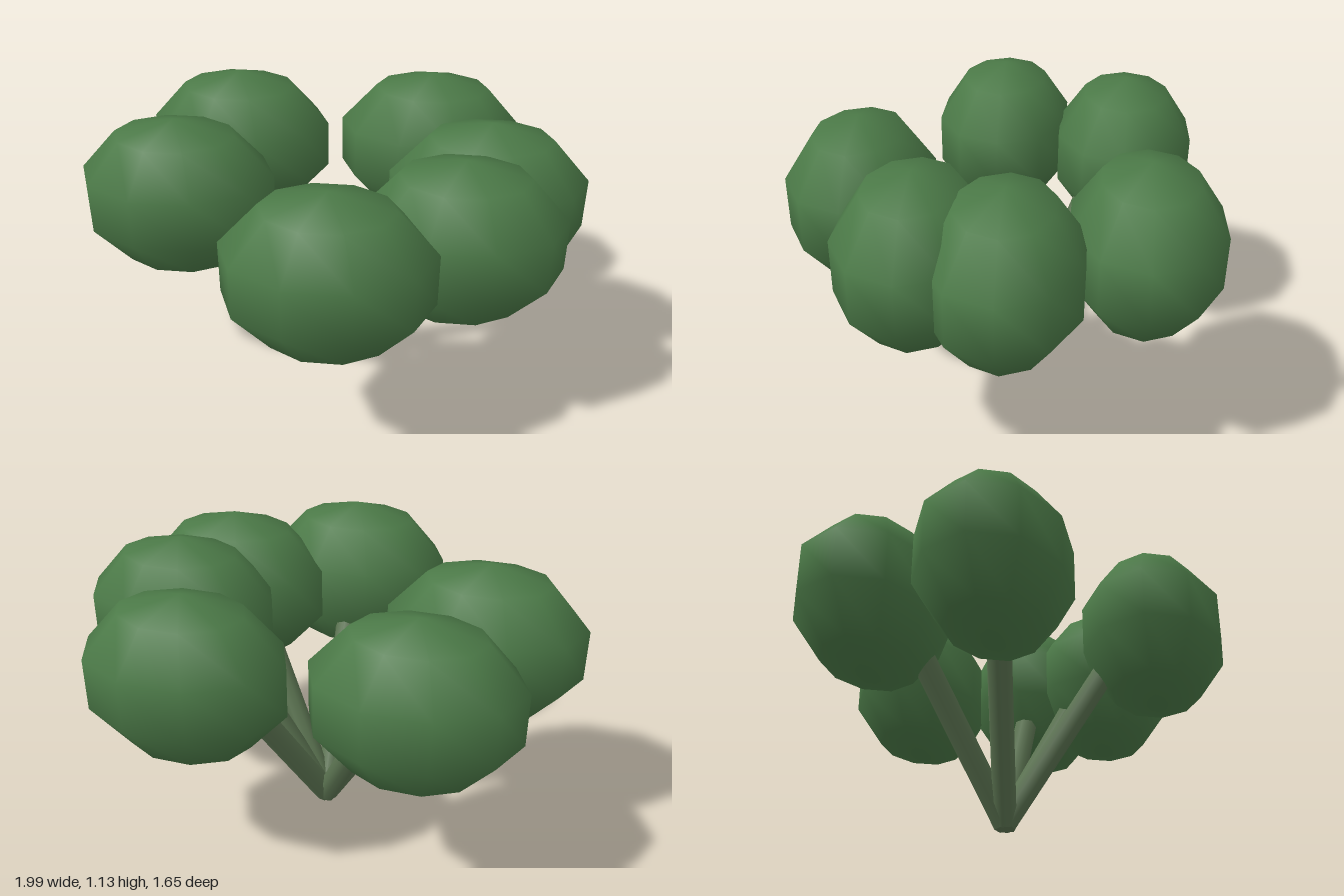
import * as THREE from 'three';

export function createModel() {
  const model = new THREE.Group();
  const leaf = new THREE.MeshStandardMaterial({ color: 0x4b7947 });
  leaf.name = 'leaf green';
  const bark = new THREE.MeshStandardMaterial({ color: 0x5a7250 });
  bark.name = 'mossy bark';

  // Centres of the leaf clumps in plan: x, z
  const clumps = [
    [-0.46, -0.485], [0.37, -0.555], [0.61, -0.065],
    [0.51, 0.265], [0.05, 0.55], [-0.61, 0.04],
  ];
  const tilt = THREE.MathUtils.degToRad(33);
  const length = 0.9;
  const up = new THREE.Vector3(0, 1, 0);
  const root = new THREE.Vector3(-0.003, 0.026, -0.065);

  // Coarse, smooth-shaded ellipsoid
  const clumpGeometry = new THREE.SphereGeometry(1, 10, 5);
  clumpGeometry.scale(0.407, 0.325, 0.304);

  // Branch with its base at the origin
  const branchGeometry = new THREE.CylinderGeometry(0.051, 0.047, length, 8);
  branchGeometry.translate(0, length / 2, 0);

  clumps.forEach(([x, z], i) => {
    const clump = new THREE.Mesh(clumpGeometry, leaf);
    clump.name = `leafClump${i + 1}`;
    clump.position.set(x, 0.805, z);
    model.add(clump);

    // All branches fan out from one root at the same tilt
    const direction = new THREE.Vector3(x - root.x, 0, z - root.z)
      .normalize().multiplyScalar(Math.sin(tilt));
    direction.y = Math.cos(tilt);
    const branch = new THREE.Mesh(branchGeometry, bark);
    branch.name = `branch${i + 1}`;
    branch.position.copy(root);
    branch.quaternion.setFromUnitVectors(up, direction);
    model.add(branch);
  });

  return model;
}
